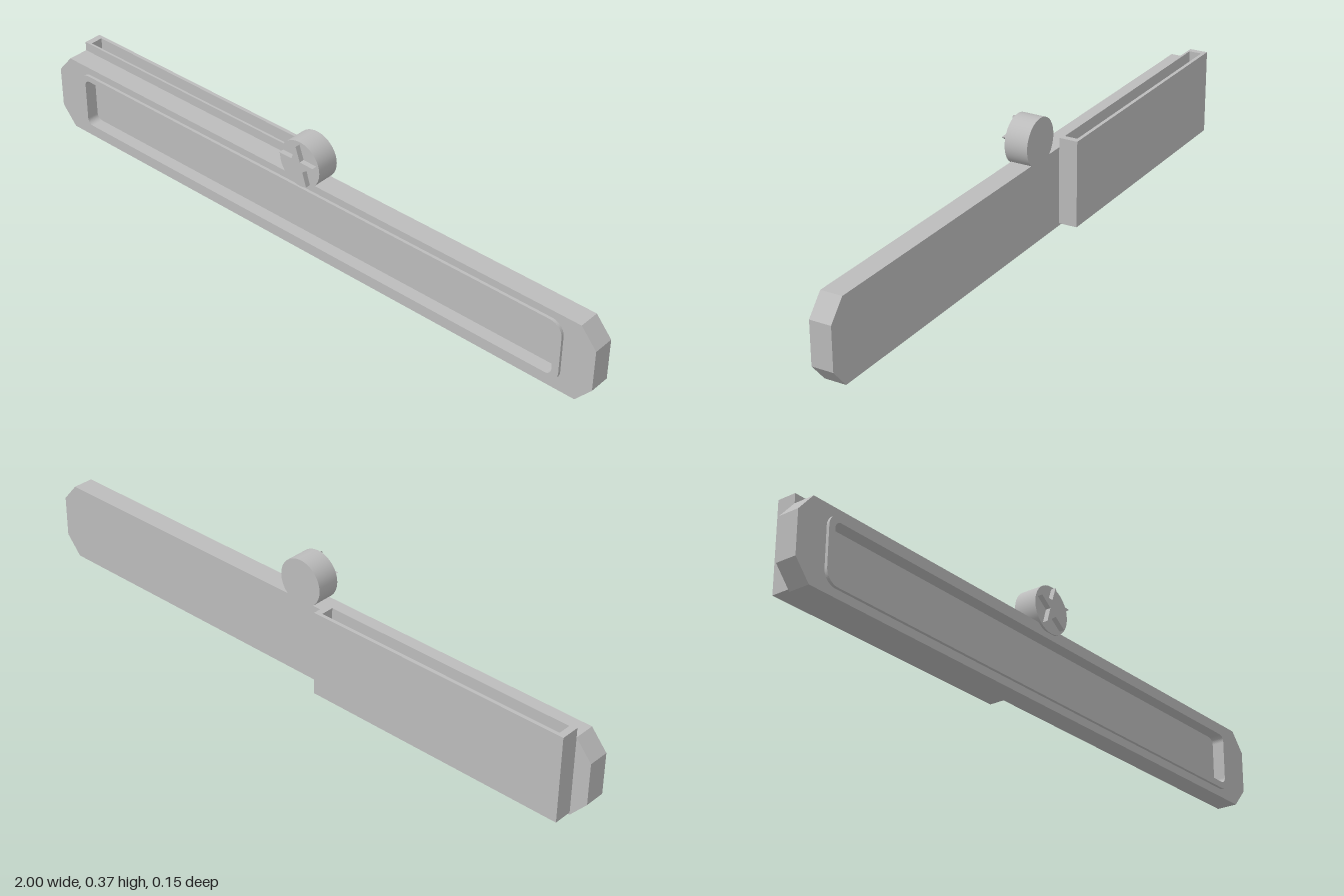
import * as THREE from 'three';

// Rectangle outline with rounded corners
function roundedRect(Path, x0, y0, x1, y1, r) {
  const p = new Path();
  p.moveTo(x0 + r, y0);
  p.lineTo(x1 - r, y0);
  p.absarc(x1 - r, y0 + r, r, -Math.PI / 2, 0);
  p.lineTo(x1, y1 - r);
  p.absarc(x1 - r, y1 - r, r, 0, Math.PI / 2);
  p.lineTo(x0 + r, y1);
  p.absarc(x0 + r, y1 - r, r, Math.PI / 2, Math.PI);
  p.lineTo(x0, y0 + r);
  p.absarc(x0 + r, y0 + r, r, Math.PI, Math.PI * 1.5);
  return p;
}

function polygon(Path, points) {
  return new Path(points.map(([x, y]) => new THREE.Vector2(x, y)));
}

function rect(Path, x0, y0, x1, y1) {
  return polygon(Path, [[x0, y0], [x1, y0], [x1, y1], [x0, y1]]);
}

// Extrusion between two z positions
function slab(shape, z0, z1) {
  return new THREE.ExtrudeGeometry(shape, { depth: z1 - z0, bevelEnabled: false, curveSegments: 8 })
    .translate(0, 0, z0);
}

export function createModel() {
  const group = new THREE.Group();
  const grey = new THREE.MeshStandardMaterial({ color: 0xbcbcbc });
  grey.name = 'plain grey';

  function add(name, geometry, parent = group) {
    const mesh = new THREE.Mesh(geometry, grey);
    mesh.name = name;
    parent.add(mesh);
    return mesh;
  }

  // Bar with cut corners; the front layer is open over the recess
  const barShape = () => polygon(THREE.Shape, [
    [-0.95, 0], [0.95, 0], [1, 0.058], [1, 0.187],
    [0.95, 0.245], [-0.95, 0.245], [-1, 0.187], [-1, 0.058],
  ]);
  const recess = () => roundedRect(THREE.Path, -0.878, 0.045, 0.878, 0.203, 0.02);
  const front = barShape();
  front.holes.push(recess());
  add('barBack', slab(barShape(), -0.015, 0.02));
  add('barFront', slab(front, 0.02, 0.05));

  // Raised rim around the recess
  const rim = roundedRect(THREE.Shape, -0.9, 0.025, 0.9, 0.222, 0.04);
  rim.holes.push(recess());
  add('recessRim', slab(rim, 0.05, 0.059));

  // Rear pocket, open at the top
  const walls = rect(THREE.Shape, -0.95, 0.015, -0.107, 0.073);
  walls.holes.push(rect(THREE.Path, -0.93, 0.022, -0.127, 0.062));
  add('pocketWalls', slab(walls, 0.02, 0.274).rotateX(-Math.PI / 2));
  add('pocketFloor', slab(rect(THREE.Shape, -0.95, 0.015, -0.107, 0.073), 0.008, 0.02)
    .rotateX(-Math.PI / 2));

  // Hexagonal bolts on thin washers
  for (const side of [-1, 1]) {
    const bolt = new THREE.Group();
    bolt.name = side > 0 ? 'leftBolt' : 'rightBolt';
    bolt.position.set(side * 0.95, 0.125, 0.05);
    add('washer', new THREE.CylinderGeometry(0.036, 0.036, 0.004, 32)
      .rotateX(Math.PI / 2).translate(0, 0, 0.002), bolt);
    const hex = (top, bottom, z0, z1) => new THREE.CylinderGeometry(top, bottom, z1 - z0, 6)
      .rotateX(Math.PI / 2).translate(0, 0, (z0 + z1) / 2).toNonIndexed();
    for (const [name, geometry] of [
      ['boltHead', hex(0.032, 0.032, 0.004, 0.012)],
      ['boltTip', hex(0.024, 0.032, 0.012, 0.017)],
    ]) {
      geometry.computeVertexNormals();
      add(name, geometry, bolt);
    }
  }

  // Round badge with a raised star
  add('badgeDisk', new THREE.CylinderGeometry(0.073, 0.073, 0.072, 48)
    .rotateX(Math.PI / 2).translate(0, 0.299, 0.021));
  const star = [];
  for (let i = 0; i < 10; i++) {
    const a = Math.PI / 2 + i * Math.PI / 5;
    const r = i % 2 ? 0.026 : 0.065;
    star.push([r * Math.cos(a), 0.299 + r * Math.sin(a)]);
  }
  add('badgeStar', slab(polygon(THREE.Shape, star), 0.057, 0.073));

  return group;
}
